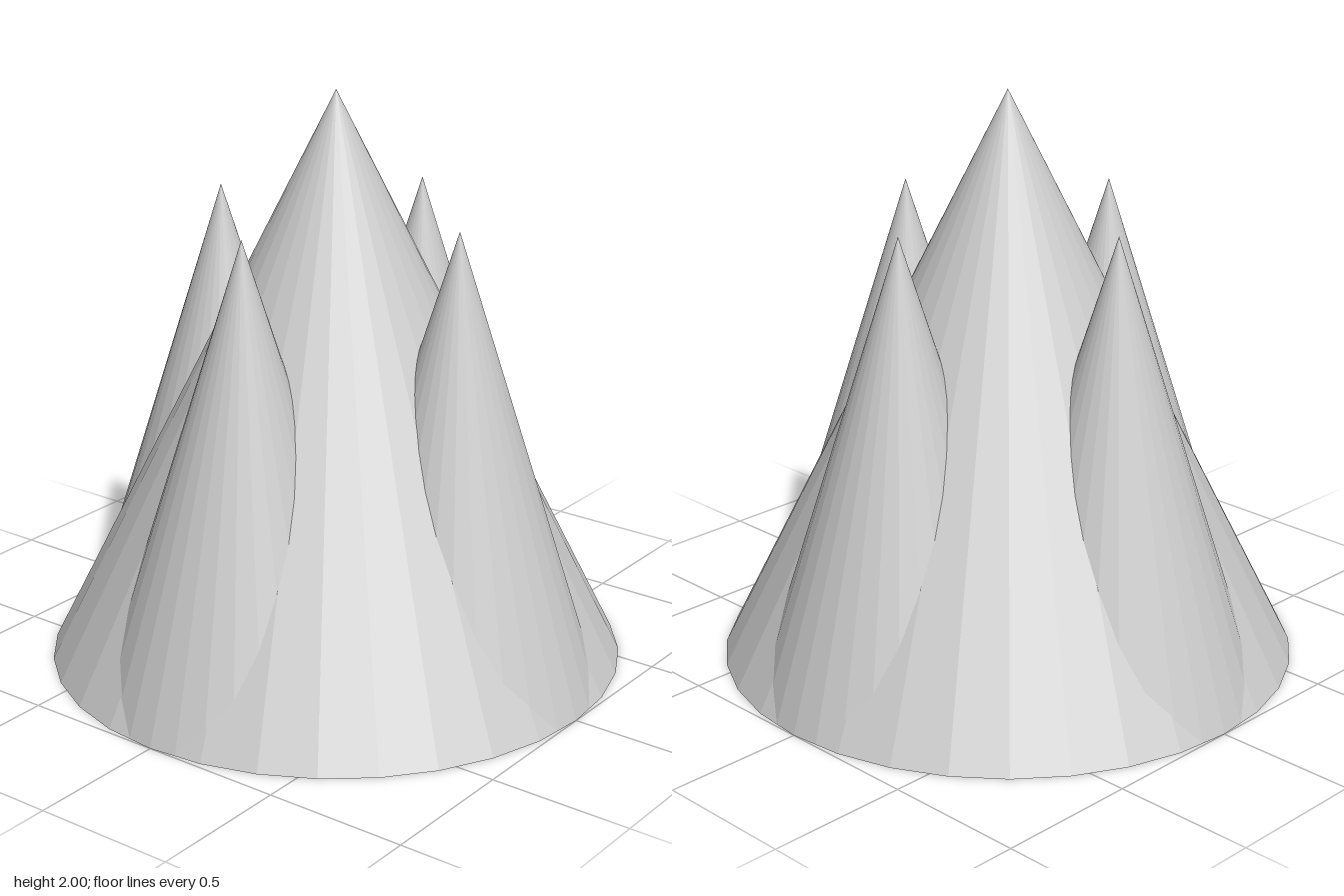
import * as THREE from 'three';

export function createModel() {
  const model = new THREE.Group();
  model.name = 'mountain';
  const material = new THREE.MeshStandardMaterial({ color: 0xcccccc, flatShading: true });

  // A peak standing on y = 0
  function addPeak(name, radius, height, x, z, openEnded) {
    const geometry = new THREE.ConeGeometry(radius, height, 32, 1, openEnded);
    geometry.translate(0, height / 2, 0);
    const peak = new THREE.Mesh(geometry, material);
    peak.name = name;
    peak.position.set(x, 0, z);
    model.add(peak);
  }

  // Main peak, closed underneath
  addPeak('mainPeak', 1, 2, 0, 0, false);

  // Four smaller peaks around it, their open feet resting on the main base
  const sidePeaks = [['leftPeak', 1, 0], ['rightPeak', -1, 0], ['frontPeak', 0, 1], ['backPeak', 0, -1]];
  for (const [name, dx, dz] of sidePeaks) addPeak(name, 0.5, 1.6, dx * 0.5, dz * 0.5, true);

  return model;
}
